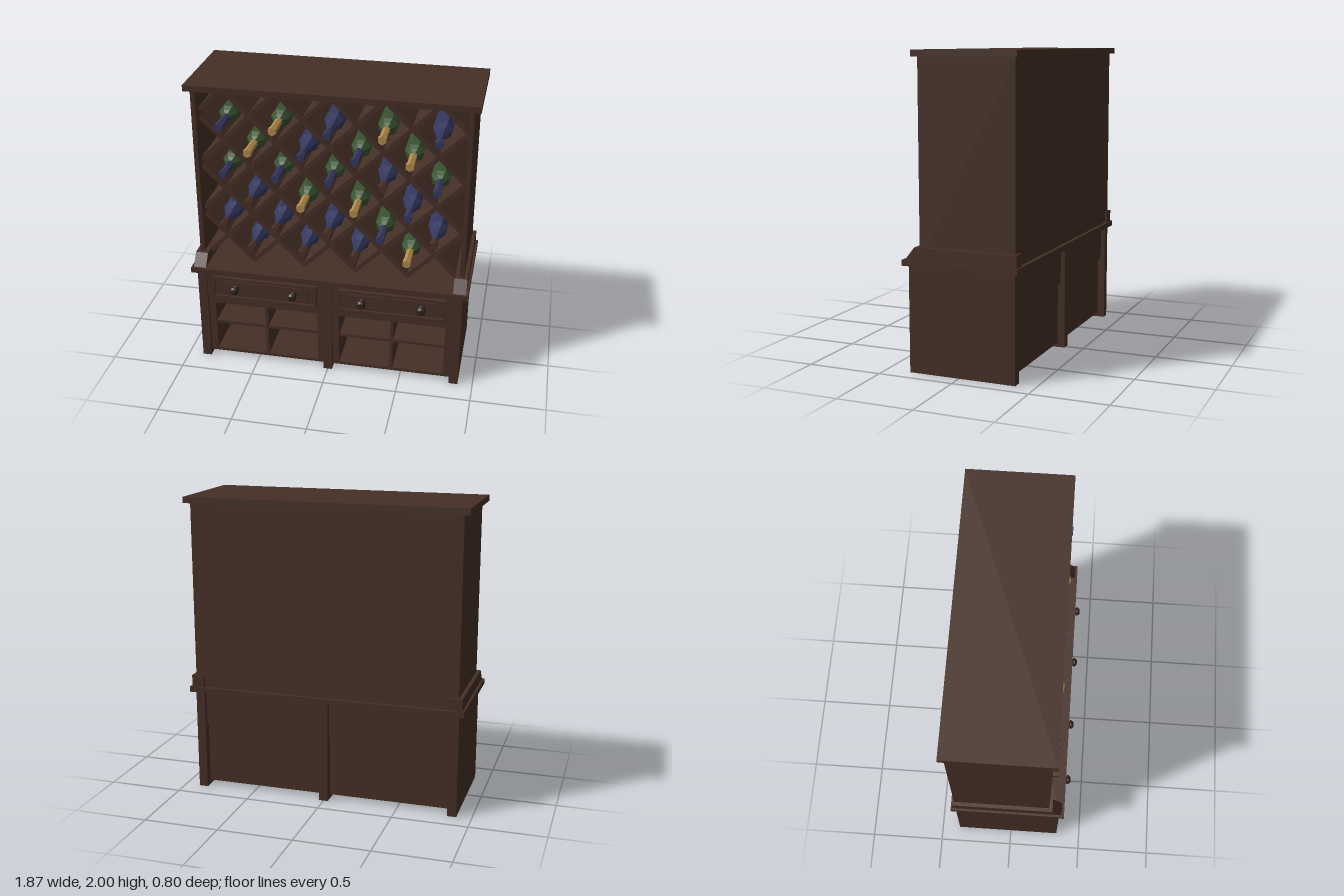
import * as THREE from 'three';

const mat = (name, color) => {
  const m = new THREE.MeshStandardMaterial({ color });
  m.name = name;
  return m;
};

export function createModel() {
  const wood = mat('dark wood', 0x452f26);
  const knobWood = mat('knob wood', 0x2e211c);
  const blue = mat('blue glass', 0x34375f);
  const green = mat('green glass', 0x37532f);
  const gold = mat('gold foil', 0xb08a4c);
  const cork = mat('brown cork', 0x4a3025);

  const model = new THREE.Group();
  model.name = 'wineCabinet';

  const group = (name, parent = model) => {
    const g = new THREE.Group();
    g.name = name;
    parent.add(g);
    return g;
  };
  const add = (parent, name, geo, material) => {
    const m = new THREE.Mesh(geo, material);
    m.name = name;
    parent.add(m);
    return m;
  };
  // Box given by its two extremes on each axis
  const box = (parent, name, x0, x1, y0, y1, z0, z1, material = wood) => {
    const m = add(parent, name, new THREE.BoxGeometry(x1 - x0, y1 - y0, z1 - z0), material);
    m.position.set((x0 + x1) / 2, (y0 + y1) / 2, (z0 + z1) / 2);
    return m;
  };
  // Faceted turned part along +z, from [radius, z] points
  const turned = (parent, name, points, sides, material) => {
    const geo = new THREE.LatheGeometry(points.map(([r, z]) => new THREE.Vector2(r, z)), sides)
      .rotateX(Math.PI / 2).toNonIndexed();
    geo.computeVertexNormals();
    return add(parent, name, geo, material);
  };

  // Top, counter and upper carcass
  box(model, 'topBoard', -0.935, 0.935, 1.96, 2, -0.4, 0.285);
  box(model, 'counter', -0.935, 0.935, 0.685, 0.722, -0.4, 0.365);
  box(model, 'upperBack', -0.87, 0.87, 0.72, 1.96, -0.375, -0.345);
  for (const s of [-1, 1]) {
    const side = s < 0 ? 'right' : 'left';
    const a = s * 0.865, b = s * 0.895;
    box(model, side + 'UpperSide', Math.min(a, b), Math.max(a, b), 0.72, 1.96, -0.375, 0.26);

    // Sloped skirting block running along the foot of each side
    const profile = new THREE.Shape([[0.39, 0.72], [0.39, 0.802], [-0.285, 0.802], [-0.35, 0.72]]
      .map(([z, y]) => new THREE.Vector2(z, y)));
    const skirt = add(model, side + 'Skirting',
      new THREE.ExtrudeGeometry(profile, { depth: 0.085, bevelEnabled: false }), wood);
    skirt.rotation.y = Math.PI / 2;
    skirt.position.x = s > 0 ? 0.835 : -0.92;
  }

  // Diagonal rack boards, clipped to the opening
  const rack = group('bottleRack');
  const X = 0.865, Y0 = 0.725, Y1 = 1.96, pitch = 0.35;
  const cellX = -0.01, cellY = 1.785, rackFront = 0.2, rackBack = -0.35;
  for (const s of [-1, 1]) {
    for (let k = -9; k <= 9; k++) {
      const c = cellY - s * (cellX + pitch / 2) + k * pitch;
      const xa = (Y0 - c) * s, xb = (Y1 - c) * s;
      const x0 = Math.max(-X, Math.min(xa, xb)), x1 = Math.min(X, Math.max(xa, xb));
      if (x1 - x0 < 0.02) continue;
      const board = add(rack, 'rackBoard',
        new THREE.BoxGeometry((x1 - x0) * Math.SQRT2, 0.03, rackFront - rackBack), wood);
      board.position.set((x0 + x1) / 2, s * (x0 + x1) / 2 + c, (rackFront + rackBack) / 2);
      board.rotation.z = s * Math.PI / 4;
    }
  }

  // Bottles: first letter is the glass, second the neck end
  const rows = [
    ['gb', 'gy', 'bb', 'gy', 'bb'],
    ['gy', 'bb', 'gb', 'gy'],
    ['gb', 'gb', 'gb', 'bc', 'gb'],
    ['bc', 'gy', 'gy', 'bb'],
    ['bc', 'bc', 'bc', 'gb', 'bc'],
    ['bc', 'bc', 'bc', 'gy'],
  ];
  const reach = [0.295, 0.275, 0.26, 0.3, 0.305, 0.27];
  const ends = { b: blue, y: gold, c: cork };
  const bottles = group('bottles');
  rows.forEach((row, r) => row.forEach((kind, i) => {
    const bottle = group('bottle', bottles);
    bottle.position.set(-0.71 + (r % 2) * 0.175 + i * pitch, 1.735 - r * 0.175, reach[r] - 0.3);
    if (kind[0] === 'g') {
      turned(bottle, 'glass', [[0, -0.25], [0.065, -0.25], [0.065, 0.07], [0.045, 0.1], [0.026, 0.12]], 7, green);
      turned(bottle, 'foil', [[0.026, 0.12], [0.026, 0.265], [0.031, 0.265], [0.029, 0.3], [0, 0.3]], 6, ends[kind[1]]);
    } else {
      turned(bottle, 'glass', [[0, -0.25], [0.065, -0.25], [0.065, 0.06], [0.045, 0.11], [0.027, 0.17],
        [0.025, 0.225]], 7, blue);
      turned(bottle, 'neckEnd', [[0.025, 0.225], [0.025, 0.27], [0.031, 0.27], [0.028, 0.3], [0, 0.3]], 6, ends[kind[1]]);
    }
  }));

  // Base: side panels and centre post
  box(model, 'rightBaseSide', -0.9, -0.84, 0, 0.685, -0.375, 0.335);
  box(model, 'leftBaseSide', 0.84, 0.9, 0, 0.685, -0.375, 0.335);
  box(model, 'centrePost', -0.03, 0.03, 0, 0.685, -0.375, 0.335);

  // Two equal bays, each with a drawer above four cubbies
  for (const x of [-0.435, 0.435]) {
    const bay = group(x < 0 ? 'rightBay' : 'leftBay');
    bay.position.x = x;
    const w = 0.405, front = 0.305, back = -0.325;

    box(bay, 'drawerCase', -w, w, 0.47, 0.685, -0.345, 0.322);
    box(bay, 'rail', -w, w, 0.445, 0.47, -0.345, 0.31);

    // Drawer front with raised border and panel
    const frame = new THREE.Shape([[-0.36, 0.495], [0.36, 0.495], [0.36, 0.655], [-0.36, 0.655]]
      .map(([a, b]) => new THREE.Vector2(a, b)));
    frame.holes.push(new THREE.Path([[-0.345, 0.51], [-0.345, 0.64], [0.345, 0.64], [0.345, 0.51]]
      .map(([a, b]) => new THREE.Vector2(a, b))));
    add(bay, 'drawerBorder',
      new THREE.ExtrudeGeometry(frame, { depth: 0.025, bevelEnabled: false }), wood).position.z = 0.32;
    box(bay, 'drawerFront', -0.35, 0.35, 0.505, 0.645, 0.315, 0.33);
    box(bay, 'drawerPanel', -0.3, 0.3, 0.53, 0.625, 0.325, 0.338);
    for (const kx of [-0.2, 0.2]) {
      turned(bay, 'drawerKnob', [[0.024, 0.335], [0.024, 0.348], [0.012, 0.355], [0.012, 0.365], [0.03, 0.374],
        [0.03, 0.386], [0.018, 0.4], [0, 0.4]], 10, knobWood).position.set(kx, 0.58, 0);
    }

    // Open cubbies
    box(bay, 'cubbyBack', -w, w, 0.03, 0.445, back, back + 0.02);
    box(bay, 'cubbyFloor', -w, w, 0.03, 0.05, back, front);
    box(bay, 'cubbyTop', -w, w, 0.425, 0.445, back, front);
    box(bay, 'cubbySide', -w, -0.36, 0.05, 0.425, back, front);
    box(bay, 'cubbySide', 0.36, w, 0.05, 0.425, back, front);
    box(bay, 'divider', -0.011, 0.011, 0.05, 0.425, back, front - 0.005);
    box(bay, 'shelf', -0.36, 0.36, 0.255, 0.275, back, front - 0.01);
  }

  return model;
}
